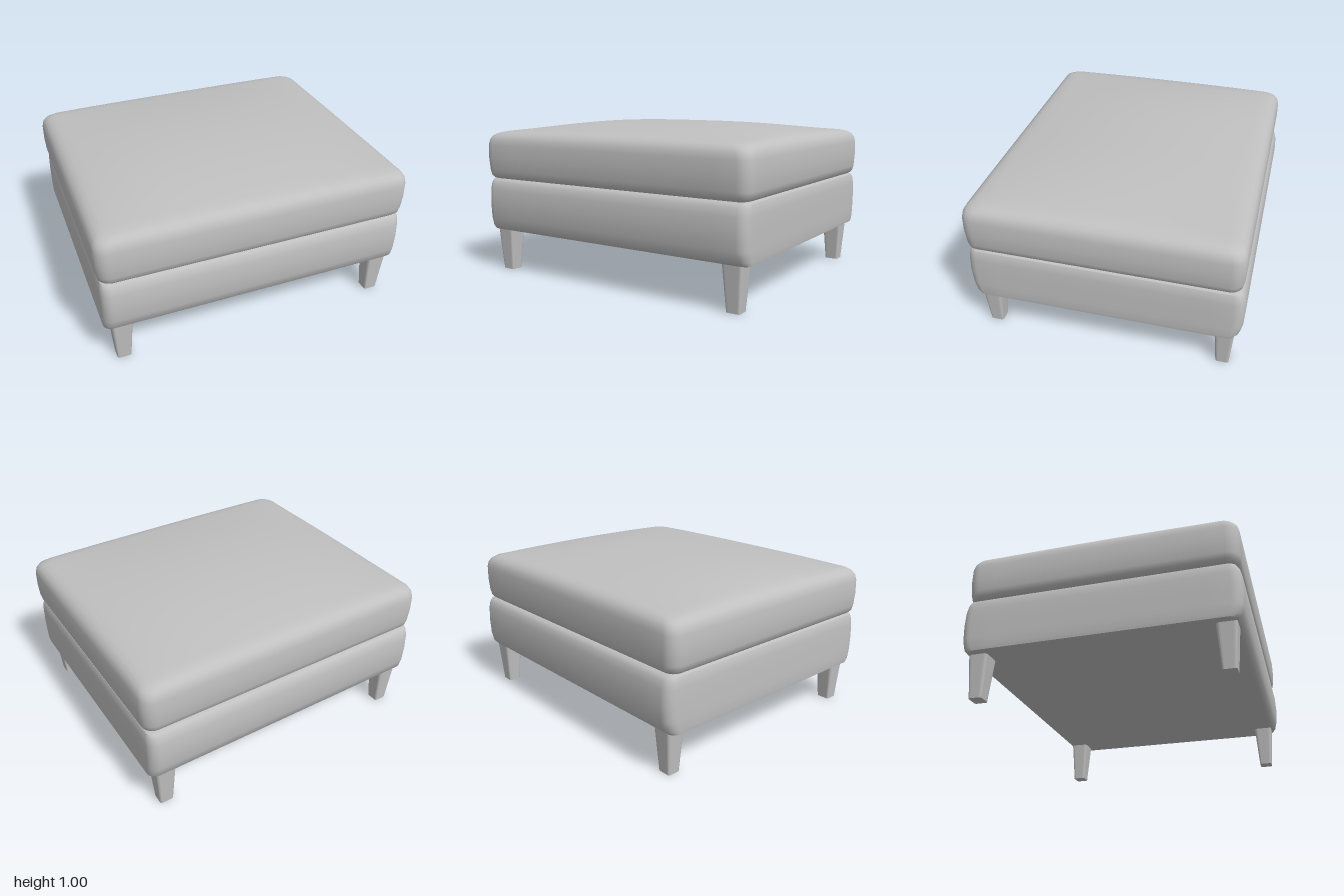
import * as THREE from 'three';
import { toCreasedNormals } from 'three/addons/utils/BufferGeometryUtils.js';

const CORNER = 6, SIDE = 12;

// Rounded rectangle outline, running from +x towards +z
function outline(hx, hz, r) {
  const corners = [];
  for (let q = 0; q < 4; q++) {
    const sx = q === 0 || q === 3 ? 1 : -1, sz = q < 2 ? 1 : -1;
    for (let i = 0; i <= CORNER; i++) {
      const a = (q + i / CORNER) * Math.PI / 2;
      corners.push([sx * (hx - r) + r * Math.cos(a), sz * (hz - r) + r * Math.sin(a)]);
    }
  }
  const points = [];
  corners.forEach((p, i) => {
    points.push(p);
    if (i % (CORNER + 1) !== CORNER) return;
    const n = corners[(i + 1) % corners.length];
    for (let k = 1; k < SIDE; k++) {
      const t = k / SIDE;
      points.push([p[0] + (n[0] - p[0]) * t, p[1] + (n[1] - p[1]) * t]);
    }
  });
  return points;
}

// Closed solid from stacked outlines [y, halfX, halfZ, cornerRadius]
function loft(profile, capSteps, shape) {
  const shrink = ([y, hx, hz, r], s) => [y, hx * s, hz * s, r * s];
  const rings = [shrink(profile[0], 0.001), ...profile];
  for (let i = capSteps - 1; i >= 0; i--) {
    rings.push(shrink(profile[profile.length - 1], Math.max(i / capSteps, 0.001)));
  }
  const positions = [], index = [];
  const count = 4 * (CORNER + SIDE);
  rings.forEach(([y, hx, hz, r], k) => {
    outline(hx, hz, r).forEach(([x, z], i) => {
      positions.push(x, shape ? shape(x, y, z) : y, z);
      if (k === 0) return;
      const j = (i + 1) % count, lo = (k - 1) * count, hi = k * count;
      index.push(lo + i, hi + i, lo + j, hi + i, hi + j, lo + j);
    });
  });
  const geometry = new THREE.BufferGeometry();
  geometry.setAttribute('position', new THREE.Float32BufferAttribute(positions, 3));
  geometry.setIndex(index);
  return toCreasedNormals(geometry, 0.75);
}

export function createModel() {
  const model = new THREE.Group();
  model.name = 'footstool';
  const upholstery = new THREE.MeshStandardMaterial({ color: 0xc0c0c0 });
  upholstery.name = 'grey upholstery';

  function add(name, geometry, x = 0, z = 0) {
    const mesh = new THREE.Mesh(geometry, upholstery);
    mesh.name = name;
    mesh.position.set(x, 0, z);
    model.add(mesh);
  }

  // Base: flat sides, softly bulging front and back
  add('base', loft([
    [0.272, 0.968, 0.79, 0.04],
    [0.277, 0.98, 0.808, 0.05],
    [0.30, 0.984, 0.83, 0.06],
    [0.36, 0.985, 0.846, 0.065],
    [0.46, 0.985, 0.851, 0.065],
    [0.55, 0.984, 0.847, 0.065],
    [0.595, 0.98, 0.836, 0.06],
    [0.615, 0.972, 0.822, 0.05],
    [0.625, 0.95, 0.80, 0.04],
  ], 2));

  // Cushion: rounded edges and a gently crowned top
  const crown = (x, y, z) => y + THREE.MathUtils.smoothstep(y, 0.88, 0.93)
    * 0.073 * (1 - Math.abs(x) ** 3) * (1 - (z / 0.845) ** 2);
  add('cushion', loft([
    [0.622, 0.945, 0.79, 0.05],
    [0.628, 0.965, 0.812, 0.06],
    [0.645, 0.983, 0.828, 0.07],
    [0.68, 0.993, 0.837, 0.08],
    [0.76, 0.998, 0.842, 0.08],
    [0.85, 0.997, 0.841, 0.08],
    [0.885, 0.99, 0.834, 0.08],
    [0.908, 0.975, 0.82, 0.08],
    [0.923, 0.95, 0.797, 0.08],
    [0.93, 0.915, 0.765, 0.08],
  ], 14, crown), 0, 0.008);

  // Tapered legs
  const leg = loft([
    [0, 0.044, 0.041, 0.012],
    [0.14, 0.055, 0.051, 0.016],
    [0.28, 0.066, 0.061, 0.02],
  ], 1);
  for (const [side, x] of [['Left', 0.872], ['Right', -0.872]]) {
    add('front' + side + 'Leg', leg, x, 0.743);
    add('back' + side + 'Leg', leg, x, -0.743);
  }
  return model;
}
